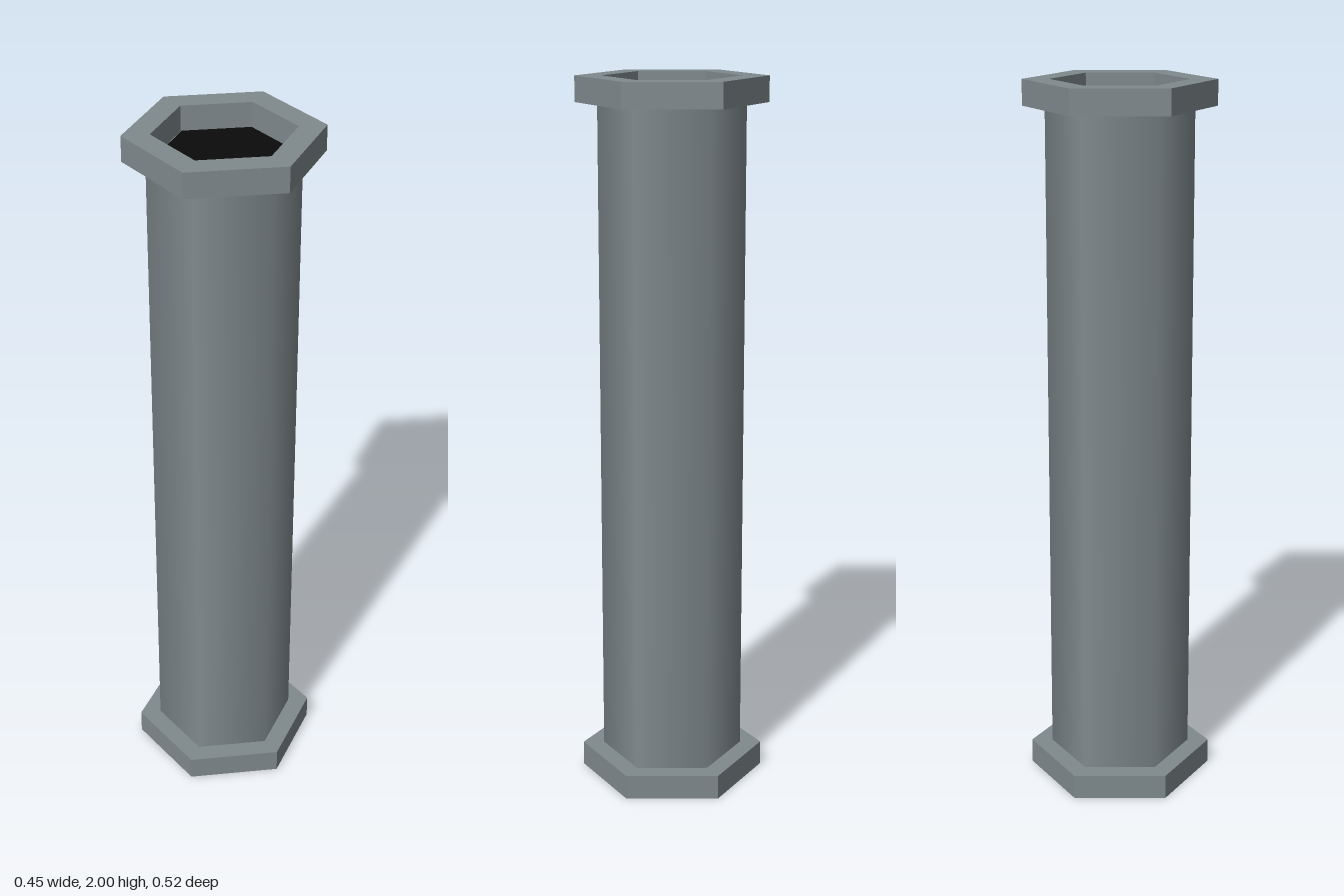
import * as THREE from 'three';

const HEIGHT = 2, FLANGE_H = 0.07;

// Six corner points with a corner on the z axis
function hexPoints(radius) {
  return Array.from({ length: 6 }, (_, i) => {
    const a = Math.PI / 2 + i * Math.PI / 3;
    return new THREE.Vector2(radius * Math.cos(a), radius * Math.sin(a));
  });
}

// Upright hexagonal ring standing on y = 0
function hexRing(outer, inner, height) {
  const shape = new THREE.Shape(hexPoints(outer));
  shape.holes.push(new THREE.Path(hexPoints(inner)));
  const geometry = new THREE.ExtrudeGeometry(shape, { depth: height, bevelEnabled: false });
  return geometry.rotateX(-Math.PI / 2);
}

export function createModel() {
  const group = new THREE.Group();
  group.name = 'hexagonalPipe';

  const metal = new THREE.MeshStandardMaterial({ color: 0x808a8e });
  metal.name = 'grey metal';
  const dark = new THREE.MeshStandardMaterial({ color: 0x0b0b0b });
  dark.name = 'black interior';

  const add = (name, geometry, material, y) => {
    const mesh = new THREE.Mesh(geometry, material);
    mesh.name = name;
    mesh.position.y = y;
    group.add(mesh);
  };

  // Six-sided body with soft corners
  const bodyH = HEIGHT - 2 * FLANGE_H;
  add('pipeBody', new THREE.CylinderGeometry(0.2, 0.2, bodyH, 6, 1), metal, HEIGHT / 2);

  // Dark core, seen only at the open ends
  add('darkCore', new THREE.CylinderGeometry(0.182, 0.182, bodyH + 0.006, 6, 1), dark, HEIGHT / 2);

  // End flanges
  const flange = hexRing(0.26, 0.187, FLANGE_H);
  add('bottomFlange', flange, metal, 0);
  add('topFlange', flange, metal, HEIGHT - FLANGE_H);

  return group;
}
